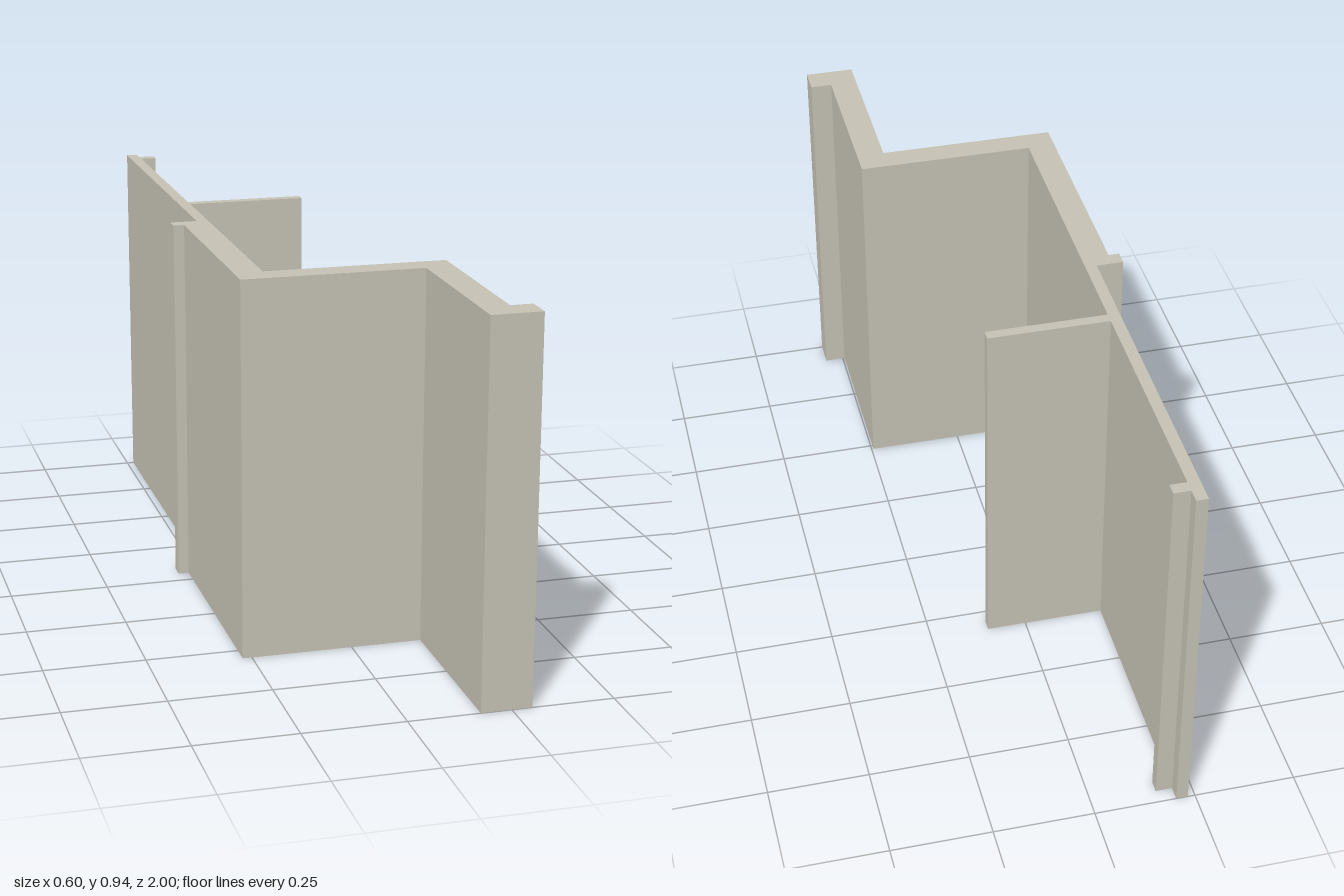
import * as THREE from 'three';

const HEIGHT = 0.937;

// Closed cross-section of the profile, as [x, z] corners
const SECTION = [
  // thin rear web with its small end lip
  [-0.232, -1], [-0.203, -1], [-0.203, -0.965], [-0.162, -0.965], [-0.162, -0.935], [-0.203, -0.935],
  // inner fin
  [-0.203, -0.317], [0.1, -0.317], [0.1, -0.29], [-0.203, -0.29],
  // inside of the step, then the front leg with its lip
  [-0.203, 0.485], [0.245, 0.485], [0.245, 0.93], [0.3, 0.93], [0.3, 1], [0.175, 1],
  // outside of the step and the thick web
  [0.175, 0.55], [-0.273, 0.55], [-0.273, -0.047],
  // outer stop rib
  [-0.3, -0.047], [-0.3, -0.085], [-0.232, -0.085],
];

export function createModel() {
  const group = new THREE.Group();
  group.name = 'extrudedFrameProfile';

  const stone = new THREE.MeshStandardMaterial({ color: 0xc4c1b3 });
  stone.name = 'warm grey';

  // Extrude the section straight up
  const shape = new THREE.Shape(SECTION.map(([x, z]) => new THREE.Vector2(x, -z)));
  const geometry = new THREE.ExtrudeGeometry(shape, { depth: HEIGHT, bevelEnabled: false });
  geometry.rotateX(-Math.PI / 2);

  const profile = new THREE.Mesh(geometry, stone);
  profile.name = 'steppedProfile';
  group.add(profile);
  return group;
}
